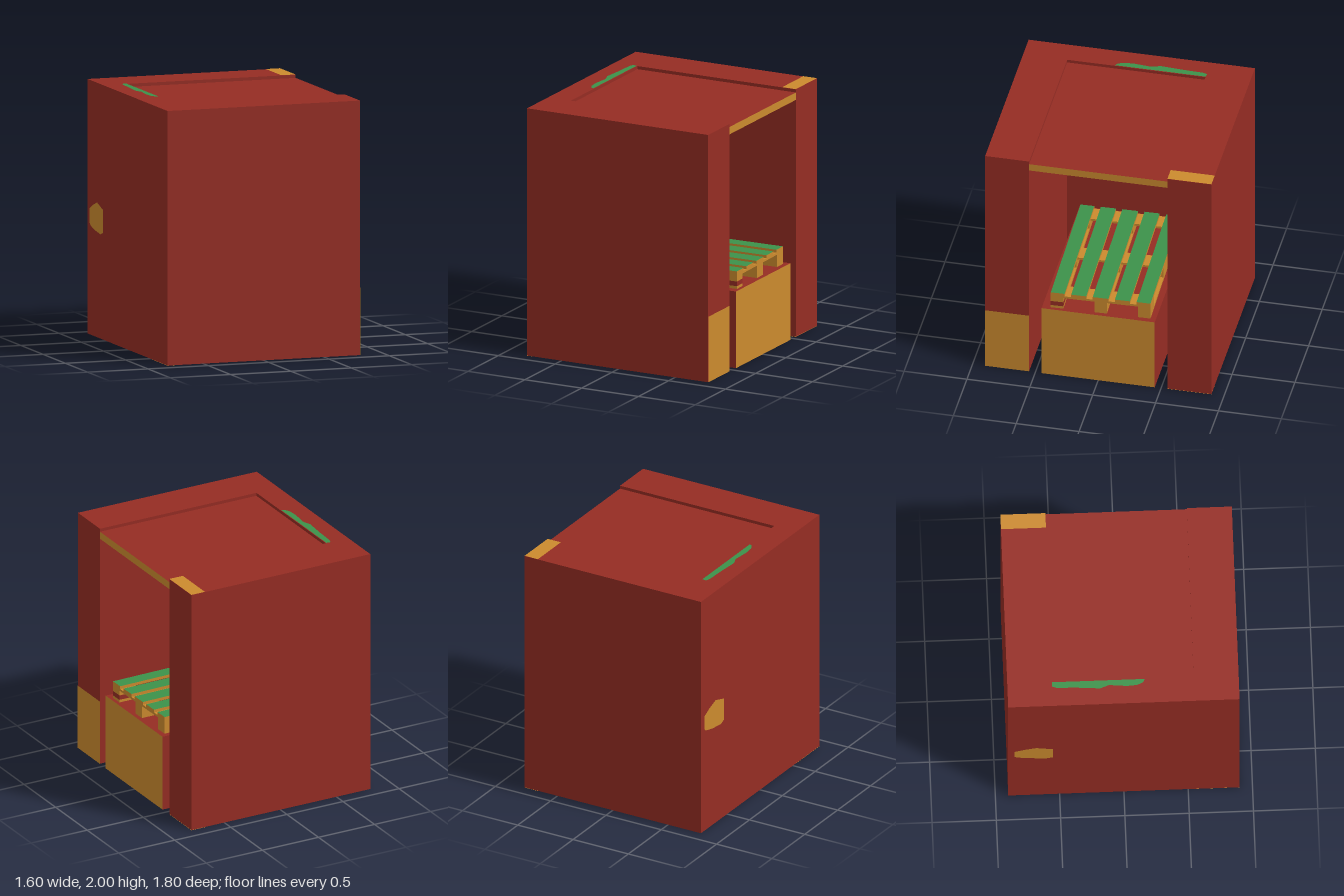
import * as THREE from 'three';

export function createModel() {
  const red = new THREE.MeshStandardMaterial({ color: 0x952c23, side: THREE.DoubleSide });
  const orange = new THREE.MeshStandardMaterial({ color: 0xcb8a2e, side: THREE.DoubleSide });
  const green = new THREE.MeshStandardMaterial({ color: 0x3c924a, side: THREE.DoubleSide });
  red.name = 'brick red';
  orange.name = 'ochre';
  green.name = 'green';

  const model = new THREE.Group();
  model.name = 'palletBay';

  // Box from its min and max corners; materials in order +x -x +y -y +z -z
  function box(parent, name, material, [x0, y0, z0], [x1, y1, z1]) {
    const mesh = new THREE.Mesh(new THREE.BoxGeometry(x1 - x0, y1 - y0, z1 - z0), material);
    mesh.position.set((x0 + x1) / 2, (y0 + y1) / 2, (z0 + z1) / 2);
    mesh.name = name;
    parent.add(mesh);
    return mesh;
  }

  // Flat painted patch: a 2D outline carried onto a face by a mapping rule
  function patch(name, material, outline, toFace) {
    const shape = new THREE.Shape(outline.map(([u, v]) => new THREE.Vector2(u, v)));
    const geometry = new THREE.ShapeGeometry(shape);
    const p = geometry.attributes.position;
    for (let i = 0; i < p.count; i++) p.setXYZ(i, ...toFace(p.getX(i), p.getY(i)));
    geometry.computeVertexNormals();
    // Turn the face outward if the mapping mirrored it
    const n = new THREE.Vector3().fromBufferAttribute(geometry.attributes.normal, 0);
    const outward = new THREE.Vector3(...toFace.normal);
    if (n.dot(outward) < 0) {
      geometry.index.array.reverse();
      geometry.computeVertexNormals();
    }
    const mesh = new THREE.Mesh(geometry, material);
    mesh.name = name;
    model.add(mesh);
  }
  const face = (normal, rule) => Object.assign(rule, { normal });
  const rect = (u0, v0, u1, v1) => [[u0, v0], [u1, v0], [u1, v1], [u0, v1]];

  // U-shaped walls, open towards +x
  const plan = new THREE.Shape([
    [-0.8, -0.9], [0.795, -0.9], [0.795, -0.55], [-0.6, -0.55],
    [-0.6, 0.55], [0.795, 0.55], [0.795, 0.9], [-0.8, 0.9],
  ].map(([x, y]) => new THREE.Vector2(x, y)));
  const wallGeometry = new THREE.ExtrudeGeometry(plan, { depth: 2, bevelEnabled: false });
  wallGeometry.rotateX(-Math.PI / 2);
  const walls = new THREE.Mesh(wallGeometry, red);
  walls.name = 'walls';
  model.add(walls);

  // Sunken roof panel with an ochre front edge
  box(model, 'roof', [orange, red, red, red, red, red], [-0.6, 1.915, -0.55], [0.795, 1.975, 0.55]);

  // Plinth with an ochre front
  box(model, 'plinth', [orange, red, red, red, red, red], [-0.6, 0, -0.45], [0.8, 0.62, 0.45]);

  // Painted patches
  const top = face([0, 1, 0], (x, z) => [x, 2.002, z]);
  const bottom = face([0, -1, 0], (x, z) => [x, -0.002, z]);
  const opening = face([1, 0, 0], (z, y) => [0.797, y, z]);
  const rear = face([-1, 0, 0], (z, y) => [-0.802, y, z]);
  const plinthSide = face([0, 0, -1], (x, y) => [x, y, -0.452]);
  patch('wallTopPatch', orange, rect(0.675, -0.9, 0.795, -0.55), top);
  patch('wallTopStain', green, [
    [-0.605, -0.55], [-0.64, -0.555], [-0.652, -0.52], [-0.658, -0.35], [-0.67, -0.18],
    [-0.645, -0.11], [-0.658, 0.03], [-0.652, 0.11], [-0.632, 0.155], [-0.605, 0.17],
  ], top);
  patch('wallFootPatch', orange, rect(0.67, -0.9, 0.795, -0.55), bottom);
  patch('wallFootStain', orange, [
    [-0.8, 0.9], [-0.65, 0.88], [-0.5, 0.85], [-0.39, 0.8], [-0.36, 0.6], [-0.37, 0.55], [-0.8, 0.55],
  ], bottom);
  patch('wallEndPatch', orange, rect(0.55, 0, 0.9, 0.53), opening);
  patch('rearStain', orange, [
    [-0.85, 0.88], [-0.85, 0.99], [-0.77, 1.03], [-0.68, 1.06], [-0.55, 1.02],
    [-0.55, 0.84], [-0.6, 0.82], [-0.73, 0.835], [-0.83, 0.86],
  ], rear);
  patch('plinthSidePatch', orange, rect(-0.37, 0, -0.16, 0.2), plinthSide);

  // Pallet on the plinth, turned very slightly
  const pallet = new THREE.Group();
  pallet.name = 'pallet';
  pallet.position.set(0.165, 0.62, 0);
  pallet.rotation.y = 0.02;
  model.add(pallet);

  // Deck boards, green on top
  const deckMaterials = [orange, orange, green, orange, orange, orange];
  for (const [z, width] of [[-0.34, 0.11], [-0.173, 0.12], [0, 0.125], [0.173, 0.12], [0.34, 0.11]]) {
    box(pallet, 'deckBoard', deckMaterials, [-0.6, 0.118, z - width / 2], [0.6, 0.142, z + width / 2]);
  }
  // Cross boards with a row of blocks under each
  const rows = [[-0.345, 0.1], [0, 0.1], [0.345, 0.1]];
  for (const x of [-0.53, 0, 0.53]) {
    box(pallet, 'crossBoard', orange, [x - 0.07, 0.1, -0.395], [x + 0.07, 0.118, 0.395]);
    for (const [z, width] of rows) {
      const corner = x > 0 && z > 0;
      box(pallet, 'block', orange, [x - 0.07, corner ? 0.06 : 0.022, z - width / 2],
        [x + 0.07, 0.1, z + width / 2]);
      if (corner) {
        box(pallet, 'stainedBlockFoot', red, [x - 0.07, 0.022, z - width / 2], [x + 0.07, 0.06, z + width / 2]);
      }
    }
  }
  // Runners along the bottom
  for (const [z, width] of rows) {
    box(pallet, 'runner', orange, [-0.6, 0, z - width / 2], [0.6, 0.022, z + width / 2]);
  }

  return model;
}
